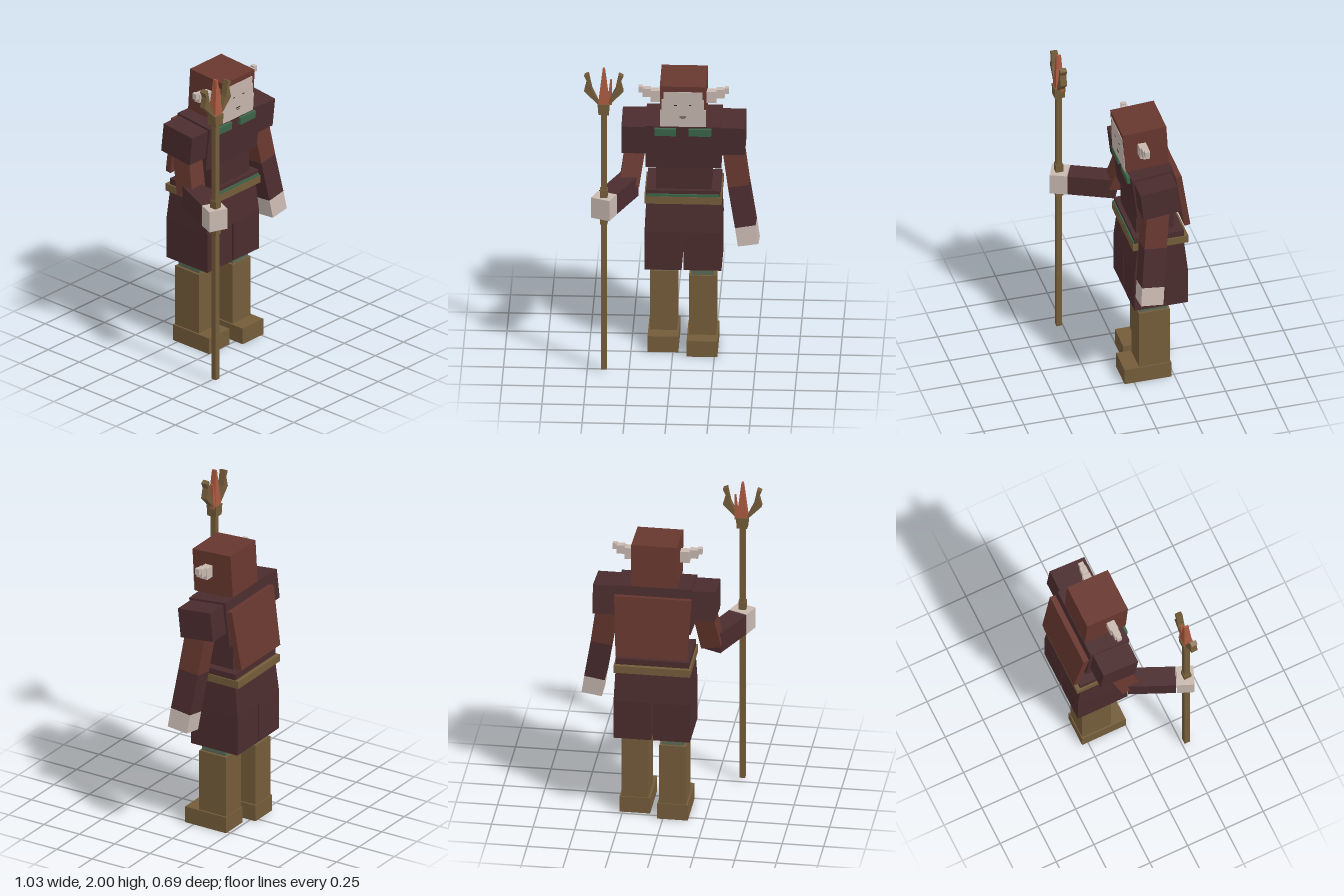
import * as THREE from 'three';

const mat = (name, color) => {
  const m = new THREE.MeshStandardMaterial({ color });
  m.name = name;
  return m;
};

export function createModel() {
  const maroon = mat('maroon cloth', 0x4b2c2e);
  const rust = mat('rust cloth', 0x67372f);
  const brown = mat('brown leather', 0x745c3a);
  const skin = mat('pale skin', 0xc8b8b0);
  const green = mat('green trim', 0x3c6649);
  const sage = mat('sage trousers', 0x5a6a55);
  const orange = mat('orange crystal', 0xa85a40);
  const dark = mat('dark features', 0x3a2a28);

  const model = new THREE.Group();
  model.name = 'staffBearer';
  const CX = 0.062; // body centre line

  const add = (name, geo, material, parent = model) => {
    const m = new THREE.Mesh(geo, material);
    m.name = name;
    parent.add(m);
    return m;
  };
  // Box from its lower and upper limits on each axis
  const span = (name, material, [x0, x1], [y0, y1], [z0, z1], parent = model) => {
    const m = add(name, new THREE.BoxGeometry(x1 - x0, y1 - y0, z1 - z0), material, parent);
    m.position.set((x0 + x1) / 2, (y0 + y1) / 2, (z0 + z1) / 2);
    return m;
  };
  // Box whose top face is scaled in x and z
  const tapered = (w, h, d, sx, sz) => {
    const g = new THREE.BoxGeometry(w, h, d);
    const p = g.attributes.position;
    for (let i = 0; i < p.count; i++) {
      if (p.getY(i) > 0) p.setXYZ(i, p.getX(i) * sx, p.getY(i), p.getZ(i) * sz);
    }
    g.computeVertexNormals();
    return g;
  };
  // Box running from one joint to the next; "front" sets its roll
  const limb = (name, material, from, to, w, d, front) => {
    const a = new THREE.Vector3(...from), b = new THREE.Vector3(...to);
    const y = a.clone().sub(b);
    const m = add(name, new THREE.BoxGeometry(w, y.length(), d), material);
    y.normalize();
    const x = new THREE.Vector3().crossVectors(y, new THREE.Vector3(...front)).normalize();
    const z = new THREE.Vector3().crossVectors(x, y);
    m.quaternion.setFromRotationMatrix(new THREE.Matrix4().makeBasis(x, y, z));
    m.position.copy(a).add(b).multiplyScalar(0.5);
  };
  const extrude = (points, depth) => {
    const s = new THREE.Shape(points.map(([x, y]) => new THREE.Vector2(x, y)));
    return new THREE.ExtrudeGeometry(s, { depth, bevelEnabled: false });
  };

  // Head, leaning slightly forward, with hood and face
  const head = new THREE.Group();
  head.name = 'head';
  head.position.set(CX, 1.651, -0.091);
  head.rotation.x = 0.06;
  model.add(head);
  add('hood', new THREE.BoxGeometry(0.276, 0.27, 0.27), rust, head);
  const half = [[0.138, -0.135], [0.138, -0.02], [0.127, -0.02], [0.127, 0.05], [0.117, 0.05], [0.117, 0.1]];
  const outline = [...half, ...half.map(([x, y]) => [-x, y]).reverse()];
  add('face', extrude(outline, 0.004), skin, head).position.z = 0.134;
  for (const s of [-1, 1]) span('eye', dark, [s * 0.044 - 0.008, s * 0.044 + 0.008], [0.008, 0.013], [0.136, 0.14], head);
  span('mouth', dark, [-0.019, 0.019], [-0.07, -0.066], [0.136, 0.14], head);
  span('lowerLip', dark, [-0.012, 0.012], [-0.082, -0.079], [0.136, 0.14], head);

  // Stepped pointed ears
  const earSteps = [
    [0.135, 0.196, 1.63, 1.703, 0.025],
    [0.196, 0.245, 1.66, 1.715, 0.02],
    [0.245, 0.27, 1.687, 1.725, 0.015],
  ];
  for (const s of [-1, 1]) {
    for (const [a, b, y0, y1, r] of earSteps) {
      const xs = [CX + s * a, CX + s * b].sort((p, q) => p - q);
      span('ear', skin, xs, [y0, y1], [-0.065 - r, -0.065 + r]);
    }
  }

  // Torso, collar and shoulders
  const chest = add('chest', new THREE.BoxGeometry(0.453, 0.287, 0.257), maroon);
  chest.position.set(CX, 1.37, -0.125);
  chest.rotation.x = 0.11;
  span('waist', maroon, [-0.1, 0.23], [1.05, 1.25], [-0.255, -0.02]);
  for (const [x0, x1] of [[-0.108, 0.02], [0.095, 0.23]]) {
    span('collarTab', green, [x0, x1], [1.443, 1.49], [-0.03, 0.033]).rotation.x = 0.08;
  }
  for (const [x0, x1] of [[-0.307, -0.16], [0.284, 0.43]]) {
    span('shoulder', maroon, [x0, x1], [1.315, 1.5], [-0.232, -0.002]).rotation.x = 0.11;
  }

  // Short cape on the back
  const cape = add('cape', tapered(0.428, 0.378, 0.036, 1.08, 1), rust);
  cape.position.set((CX), 1.289, -0.298);
  cape.rotation.x = 0.155;

  // Belt and short breeches
  span('tunicHem', maroon, [-0.16, 0.283], [1.02, 1.07], [-0.305, 0.005]);
  span('belt', brown, [-0.17, 0.291], [0.985, 1.032], [-0.33, 0.015]);
  span('beltTrim', green, [-0.158, 0.28], [1.03, 1.048], [-0.02, 0.013]);
  const hips = add('hips', tapered(0.46, 0.2, 0.33, 0.96, 0.87), maroon);
  hips.position.set(CX - 0.001, 0.892, -0.16);
  span('breechesRight', maroon, [-0.169, 0.052], [0.545, 0.795], [-0.325, 0.005]);
  span('breechesLeft', maroon, [0.065, 0.29], [0.545, 0.795], [-0.325, 0.005]);

  // Legs: the left one stands a little ahead of the right
  for (const [side, x, z] of [['Right', -0.059, 0], ['Left', 0.176, 0.058]]) {
    span('trousers' + side, sage, [x - 0.066, x + 0.066], [0.45, 0.6], [z - 0.268, z - 0.1]);
    span('boot' + side, brown, [x - 0.081, x + 0.081], [0.08, 0.492], [z - 0.282, z - 0.09]);
    span('foot' + side, brown, [x - 0.092, x + 0.092], [0, 0.103], [z - 0.288, z + 0.002]);
  }

  // Left arm hangs down; right arm reaches forward to the staff
  const fwd = [0, 0, 1], up = [0, 1, 0];
  limb('upperArmLeft', rust, [0.352, 1.36, -0.11], [0.391, 1.09, -0.08], 0.125, 0.138, fwd);
  limb('forearmLeft', maroon, [0.391, 1.09, -0.08], [0.434, 0.837, -0.053], 0.125, 0.138, fwd);
  limb('handLeft', skin, [0.434, 0.837, -0.053], [0.452, 0.721, -0.042], 0.125, 0.138, fwd);
  limb('upperArmRight', rust, [-0.22, 1.36, -0.115], [-0.262, 1.09, -0.04], 0.12, 0.125, fwd);
  limb('forearmRight', maroon, [-0.26, 1.088, -0.04], [-0.378, 1.088, 0.222], 0.121, 0.13, up);
  limb('handRight', skin, [-0.38, 1.088, 0.226], [-0.42, 1.088, 0.322], 0.121, 0.133, up);

  // Staff with grip rings, forked head and crystals
  const staff = new THREE.Group();
  staff.name = 'staff';
  staff.position.set(-0.4, 0, 0.28);
  model.add(staff);
  const post = (name, m, r, y0, y1) => span(name, m, [-r, r], [y0, y1], [-r, r], staff);
  post('shaft', brown, 0.0175, 0.02, 1.72);
  post('gripRing', brown, 0.023, 0.98, 1.03);
  post('gripRing', brown, 0.023, 1.15, 1.205);
  add('socket', tapered(0.062, 0.07, 0.062, 1.18, 1.05), brown, staff).position.y = 1.74;
  add('crystal', tapered(0.068, 0.235, 0.055, 0.18, 0.5), orange, staff).position.y = 1.883;
  const shard = add('smallCrystal', tapered(0.028, 0.16, 0.026, 0.35, 0.6), orange, staff);
  shard.position.set(0.038, 1.842, -0.01);
  shard.rotation.z = -0.06;
  const prong = [[0, 1.74], [0.035, 1.77], [0.117, 1.855], [0.1, 1.92], [0.117, 1.955],
    [0.09, 1.967], [0.07, 1.87], [0.024, 1.77]];
  for (const s of [-1, 1]) {
    const g = extrude(prong.map(([x, y]) => [s * x, y]), 0.04);
    add('prong', g, brown, staff).position.z = -0.02;
  }
  return model;
}
